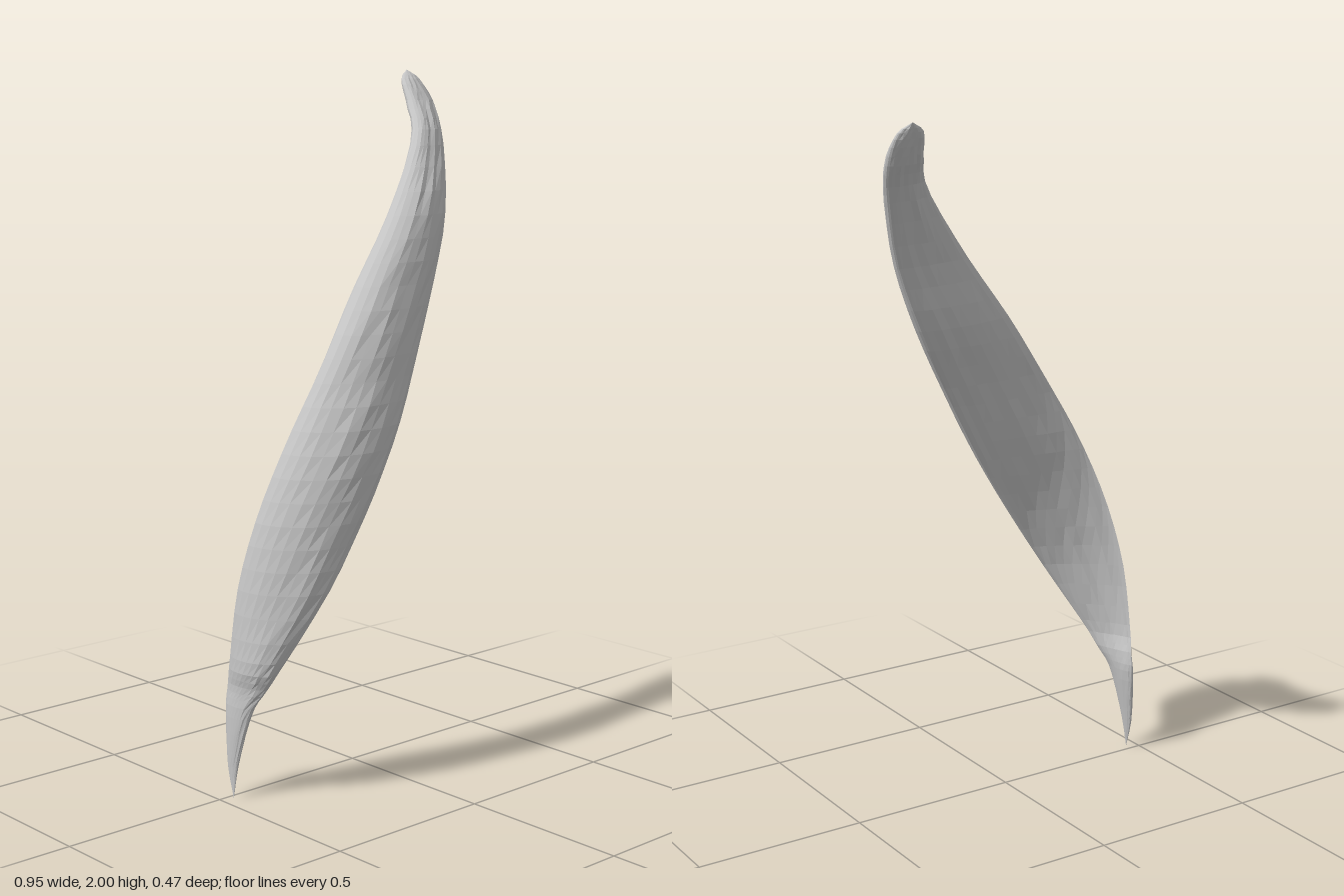
import * as THREE from 'three';

// Cross-sections from the base to the tip:
// y, left edge x z, right edge x z, front bulge x z, hollow (back bulge as a share of the front one)
const SECTIONS = [
  [0.0, -0.465, 0.02, -0.465, 0.02, 0, 0, 0],
  [0.1, -0.463, -0.005, -0.455, 0.03, -0.008, 0.0, -0.8],
  [0.25, -0.453, -0.026, -0.435, 0.068, -0.02, 0.018, -0.7],
  [0.32, -0.448, -0.022, -0.405, 0.095, -0.027, 0.042, -0.2],
  [0.4, -0.455, -0.003, -0.365, 0.12, -0.035, 0.07, 0.1],
  [0.6, -0.44, 0.017, -0.24, 0.16, -0.03, 0.102, 0.2],
  [0.8, -0.398, 0.052, -0.107, 0.155, -0.025, 0.12, 0.12],
  [1.0, -0.32, 0.085, 0.025, 0.12, -0.01, 0.131, -0.06],
  [1.2, -0.205, 0.1, 0.15, 0.075, 0, 0.107, -0.2],
  [1.4, -0.06, 0.075, 0.275, 0.012, 0, 0.103, -0.33],
  [1.6, 0.11, 0.033, 0.37, -0.032, 0, 0.083, -0.25],
  [1.8, 0.278, -0.04, 0.447, -0.12, 0.012, 0.042, -0.6],
  [1.9, 0.345, -0.125, 0.476, -0.18, 0.01, 0.032, -0.9],
  [1.97, 0.378, -0.19, 0.472, -0.222, 0.005, 0.018, -1],
  [2.0, 0.435, -0.235, 0.435, -0.235, 0, 0, 0],
];
const ROWS = 45, SIDES = 28;

// Seeded noise in -1..1
let seed = 7;
const noise = () => {
  seed = (seed * 16807) % 2147483647;
  return (seed / 2147483647) * 2 - 1;
};

const curve = (pick) =>
  new THREE.CatmullRomCurve3(SECTIONS.map(pick), false, 'catmullrom', 0.5);

function bladeGeometry() {
  const left = curve((s) => new THREE.Vector3(s[1], s[0], s[2]));
  const right = curve((s) => new THREE.Vector3(s[3], s[0], s[4]));
  const front = curve((s) => new THREE.Vector3(s[5], s[0], s[6]));
  const back = curve((s) => new THREE.Vector3(s[5] * s[7], s[0], s[6] * s[7]));
  const grooves = new Array(SIDES).fill(0);
  const pos = [], index = [];

  for (let i = 0; i <= ROWS; i++) {
    const u = i / ROWS;
    const l = left.getPoint(u), r = right.getPoint(u);
    const f = front.getPoint(u), b = back.getPoint(u);
    const rough = 0.05 * Math.min(l.distanceTo(r), 0.1);
    for (let j = 0; j < SIDES; j++) {
      // Two blunt half ovals: the convex front, then the back
      const a = (j / SIDES) * Math.PI * 2;
      const t = (1 - Math.cos(a)) / 2, w = Math.abs(Math.sin(a)) ** 0.9;
      const bulge = a <= Math.PI ? f : b;
      // Long shallow grooves that carry on from row to row
      grooves[j] = 0.6 * grooves[j] + 0.6 * noise();
      pos.push(
        l.x + (r.x - l.x) * t + bulge.x * w,
        l.y,
        l.z + (r.z - l.z) * t + bulge.z * w + rough * w * grooves[j],
      );
    }
  }
  for (let i = 0; i < ROWS; i++) {
    for (let j = 0; j < SIDES; j++) {
      const k = (j + 1) % SIDES;
      const p = i * SIDES + j, q = i * SIDES + k;
      index.push(p, q, q + SIDES, p, q + SIDES, p + SIDES);
    }
  }
  const geometry = new THREE.BufferGeometry();
  geometry.setAttribute('position', new THREE.Float32BufferAttribute(pos, 3));
  geometry.setIndex(index);
  geometry.computeVertexNormals();
  return geometry;
}

export function createModel() {
  const grey = new THREE.MeshStandardMaterial({ color: 0xc4c4c4, flatShading: true, side: THREE.DoubleSide });
  grey.name = 'light grey';
  const blade = new THREE.Mesh(bladeGeometry(), grey);
  blade.name = 'curvedBlade';
  const group = new THREE.Group();
  group.name = 'curvedPod';
  group.add(blade);
  return group;
}
